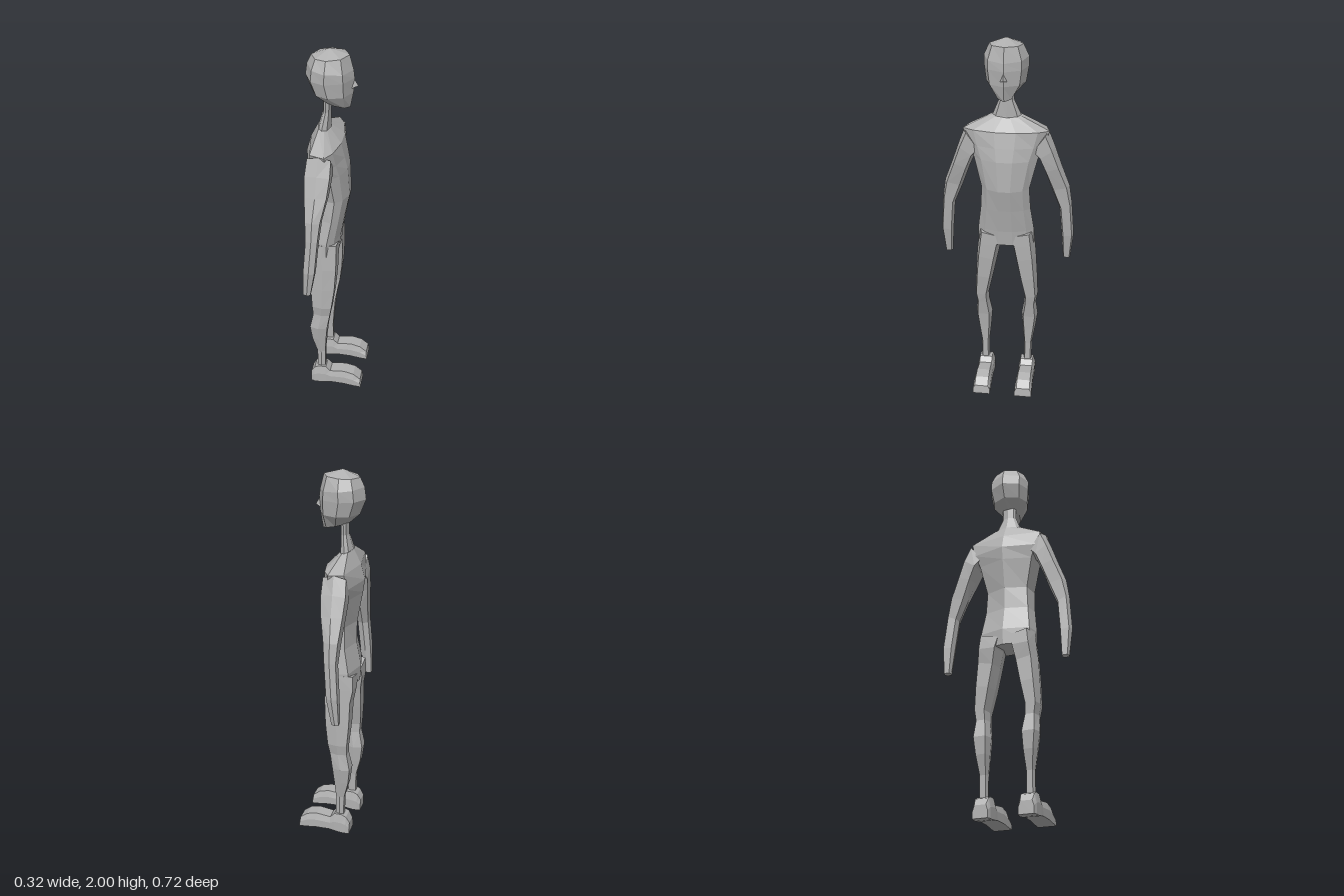
import * as THREE from 'three';

const skin = new THREE.MeshStandardMaterial({ color: 0xb0b0b0, flatShading: true });
skin.name = 'plain grey';

// Skin a list of equal-sized rings of [x, y, z] points, closing both ends
function loft(name, rings) {
  const pos = [], n = rings[0].length;
  const tri = (a, b, c) => pos.push(...a, ...b, ...c);
  const centre = r => [0, 1, 2].map(k => r.reduce((s, p) => s + p[k], 0) / n);
  const first = rings[0], last = rings[rings.length - 1];
  const c0 = centre(first), c1 = centre(last);
  for (let j = 0; j < n; j++) {
    const k = (j + 1) % n;
    for (let i = 0; i < rings.length - 1; i++) {
      const a = rings[i], b = rings[i + 1];
      tri(a[j], a[k], b[k]);
      tri(a[j], b[k], b[j]);
    }
    tri(c0, first[k], first[j]);
    tri(c1, last[j], last[k]);
  }
  // Turn the faces outward whichever way the rings run
  let volume = 0;
  const v = [new THREE.Vector3(), new THREE.Vector3(), new THREE.Vector3()];
  for (let i = 0; i < pos.length; i += 9) {
    v.forEach((p, k) => p.fromArray(pos, i + k * 3));
    volume += v[0].dot(v[1].clone().cross(v[2]));
  }
  if (volume < 0) {
    for (let i = 0; i < pos.length; i += 9) {
      for (let k = 0; k < 3; k++) {
        [pos[i + 3 + k], pos[i + 6 + k]] = [pos[i + 6 + k], pos[i + 3 + k]];
      }
    }
  }
  const g = new THREE.BufferGeometry();
  g.setAttribute('position', new THREE.Float32BufferAttribute(pos, 3));
  g.computeVertexNormals();
  const mesh = new THREE.Mesh(g, skin);
  mesh.name = name;
  return mesh;
}

// Section shapes: [fraction from back to front, fraction of half width]
const HEAD = [[0, 0], [0.17, 0.75], [0.46, 1], [0.82, 0.74], [1, 0],
  [0.82, -0.74], [0.46, -1], [0.17, -0.75]];
const BODY = [[0, 0], [0.2, 0.9], [0.66, 1], [0.86, 0.74], [1, 0.25],
  [1, -0.25], [0.86, -0.74], [0.66, -1], [0.2, -0.9]];
// Limb section: [fraction from inner to outer, fraction from back to front]
const LIMB = [[0.85, 1], [1, 0.5], [0.85, 0], [0.15, 0], [0, 0.5], [0.15, 1]];

// Upright rows: back x, front x, half width, back y, front y
const trunk = (name, shape, rows) => loft(name, rows.map(([b, f, w, yb, yf = yb]) =>
  shape.map(([t, u]) => [b + (f - b) * t, yb + (yf - yb) * t, u * w])));

// Limb rows: outer z, outer y, inner z, inner y, back x, front x
const limb = (name, side, rows) => loft(name, rows.map(([oz, oy, iz, iy, b, f]) =>
  LIMB.map(([u, t]) => [b + (f - b) * t, iy + (oy - iy) * u, side * (iz + (oz - iz) * u)])));

export function createModel() {
  const figure = new THREE.Group();
  figure.name = 'figure';

  figure.add(trunk('head', HEAD, [
    [-0.045, -0.035, 0.005, 2.0],
    [-0.13, 0.055, 0.085, 1.965, 1.975],
    [-0.152, 0.075, 0.112, 1.92, 1.9],
    [-0.16, 0.08, 0.112, 1.86],
    [-0.13, 0.075, 0.1, 1.785],
    [-0.08, 0.06, 0.045, 1.74, 1.705],
  ]));

  // Nose: a small wedge on the face
  const tip = [0.098, 1.82, 0];
  const base = [[0.07, 1.865, 0], [0.07, 1.81, 0.017], [0.07, 1.81, -0.017]];
  figure.add(loft('nose', [base, base.map(p => p.map((c, k) => tip[k] + (c - tip[k]) * 0.02))]));

  figure.add(trunk('neck', HEAD, [
    [-0.075, -0.03, 0.04, 1.78],
    [-0.075, -0.035, 0.04, 1.68],
    [-0.1, -0.035, 0.075, 1.595],
    [-0.11, -0.03, 0.08, 1.57],
  ]));

  figure.add(trunk('torso', BODY, [
    [-0.1, -0.035, 0.075, 1.605, 1.59],
    [-0.138, 0.025, 0.222, 1.53],
    [-0.16, 0.042, 0.195, 1.45],
    [-0.15, 0.056, 0.165, 1.38],
    [-0.122, 0.065, 0.125, 1.22],
    [-0.12, 0.042, 0.132, 1.1],
    [-0.145, 0.02, 0.15, 0.97],
    [-0.14, 0.012, 0.15, 0.885],
  ]));

  for (const [label, side] of [['left', 1], ['right', -1]]) {
    figure.add(limb(label + 'Arm', side, [
      [0.215, 1.53, 0.13, 1.41, -0.118, 0.0],
      [0.25, 1.44, 0.165, 1.38, -0.125, 0.0],
      [0.285, 1.34, 0.195, 1.31, -0.12, -0.01],
      [0.33, 1.22, 0.235, 1.2, -0.11, -0.035],
      [0.345, 1.12, 0.28, 1.09, -0.105, -0.045],
      [0.36, 0.93, 0.295, 0.92, -0.118, -0.06],
      [0.345, 0.78, 0.305, 0.78, -0.122, -0.085],
    ]));

    figure.add(limb(label + 'Leg', side, [
      [0.148, 0.96, 0.01, 0.93, -0.135, 0.012],
      [0.155, 0.88, 0.03, 0.875, -0.138, 0.012],
      [0.162, 0.81, 0.048, 0.79, -0.125, 0.012],
      [0.17, 0.68, 0.073, 0.67, -0.123, 0.005],
      [0.175, 0.56, 0.1, 0.55, -0.115, -0.01],
      [0.165, 0.5, 0.098, 0.5, -0.112, -0.02],
      [0.175, 0.41, 0.083, 0.41, -0.13, -0.035],
      [0.162, 0.32, 0.09, 0.32, -0.12, -0.043],
      [0.145, 0.22, 0.1, 0.22, -0.095, -0.05],
      [0.145, 0.09, 0.1, 0.09, -0.092, -0.05],
    ]));

    // Foot rows from heel to toe: x, sole y, top y, half width
    const foot = [[-0.13, 0, 0.065, 0.04], [-0.11, 0, 0.1, 0.046], [-0.085, 0, 0.112, 0.046],
      [-0.045, 0.005, 0.112, 0.046], [-0.02, 0.01, 0.085, 0.045], [0.06, 0.01, 0.095, 0.047],
      [0.115, 0.003, 0.082, 0.048], [0.155, 0, 0.05, 0.048], [0.16, 0, 0.01, 0.048]];
    figure.add(loft(label + 'Foot', foot.map(([x, lo, hi, w]) =>
      [[lo, 1], [lo + (hi - lo) * 0.55, 1], [hi, 0.76], [hi, -0.76],
        [lo + (hi - lo) * 0.55, -1], [lo, -1]].map(([y, u]) => [x, y, side * 0.118 + u * w]))));
  }
  return figure;
}
